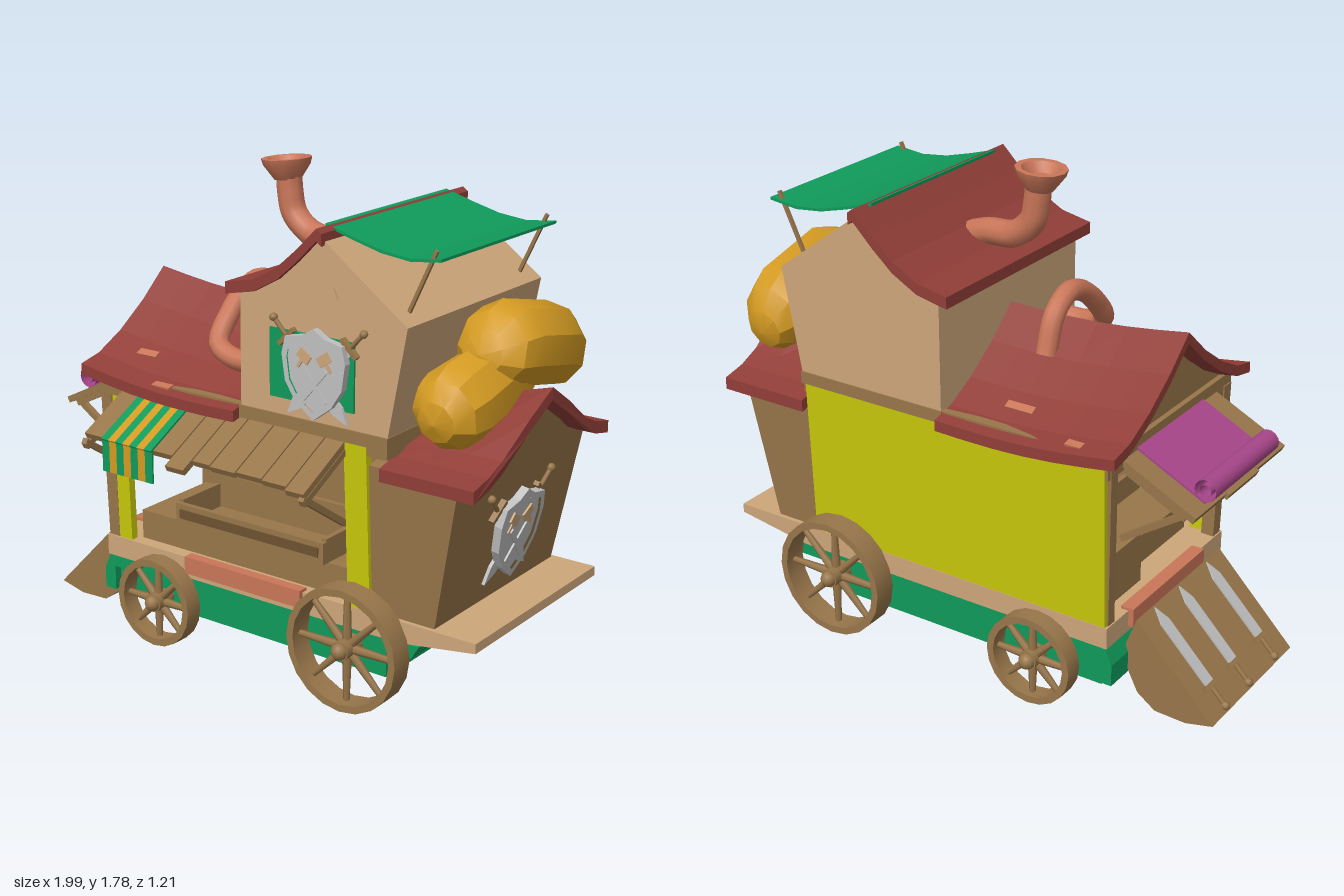
import * as THREE from 'three';
import { toCreasedNormals } from 'three/addons/utils/BufferGeometryUtils.js';

const mat = (name, color, side = THREE.FrontSide) => {
  const m = new THREE.MeshStandardMaterial({ color, side });
  m.name = name;
  return m;
};
const V = (x, y, z) => new THREE.Vector3(x, y, z);
const MID = -0.085; // centre line of the wagon in z

export function createModel() {
  const wood = mat('wood', 0x98764a), tan = mat('lightTimber', 0xcda67a), red = mat('roofRed', 0x913e38);
  const green = mat('green', 0x109a5a), yellow = mat('yellowPaint', 0xc8c80c), gold = mat('sackCloth', 0xd39a22);
  const clay = mat('terracotta', 0xc97658), silver = mat('steel', 0xc0c0c0);
  const magenta = mat('magentaCloth', 0xa8468a, THREE.DoubleSide), dark = mat('darkWood', 0x6e5230);
  const root = new THREE.Group();
  root.name = 'marketWagon';

  const add = (name, geo, m, parent = root) => {
    const mesh = new THREE.Mesh(geo, m);
    mesh.name = name;
    parent.add(mesh);
    return mesh;
  };
  const group = (name, parent = root) => {
    const g = new THREE.Group();
    g.name = name;
    parent.add(g);
    return g;
  };
  // box given by its limits
  const box = (name, m, x0, x1, y0, y1, z0, z1, parent) => add(name,
    new THREE.BoxGeometry(x1 - x0, y1 - y0, z1 - z0).translate((x0 + x1) / 2, (y0 + y1) / 2, (z0 + z1) / 2), m, parent);
  const shape = pts => new THREE.Shape(pts.map(p => new THREE.Vector2(...p)));
  const extrude = (s, depth, steps = 1) => new THREE.ExtrudeGeometry(s, { depth, steps, bevelEnabled: false });
  // outline in (x, y) pulled along z / outline in (z, y) pulled along x
  const alongZ = (pts, z0, z1) => extrude(shape(pts), z1 - z0).translate(0, 0, z0);
  const alongX = (pts, x0, x1, steps = 1) =>
    extrude(shape(pts.map(([z, y]) => [-z, y])), x1 - x0, steps).rotateY(Math.PI / 2).translate(x0, 0, 0);
  const beam = (name, m, a, b, w, d, parent) => {
    const dir = b.clone().sub(a);
    const mesh = add(name, new THREE.BoxGeometry(w, dir.length(), d), m, parent);
    mesh.position.copy(a).add(b).multiplyScalar(0.5);
    mesh.quaternion.setFromUnitVectors(V(0, 1, 0), dir.normalize());
    return mesh;
  };
  const bend = (geo, rule) => {
    const p = geo.attributes.position, v = V(0, 0, 0);
    for (let i = 0; i < p.count; i++) {
      rule(v.fromBufferAttribute(p, i));
      p.setXYZ(i, v.x, v.y, v.z);
    }
    geo.computeVertexNormals();
    return geo;
  };
  // closed strip of constant height under a top line
  const strip = (line, t) => [...line, ...line.map(([a, b]) => [a, b - t]).reverse()];
  // mirrors half a gable line about the centre line
  const gable = half => [...half.slice(1).reverse().map(([d, y]) => [MID - d, y]), ...half.map(([d, y]) => [MID + d, y])];

  // undercarriage and deck
  box('chassis', green, -0.6, 0.61, 0.12, 0.24, -0.47, 0.29);
  add('chassisRail', alongZ([[-0.65, 0.14], [-0.6, 0.14], [-0.6, 0.235], [0.73, 0.235], [0.76, 0.285], [-0.62, 0.285], [-0.65, 0.22]], -0.49, 0.32), green);
  add('deck', alongZ([[-0.63, 0.28], [0.68, 0.28], [0.98, 0.325], [0.98, 0.36], [-0.63, 0.36]], -0.492, 0.322), tan);
  box('frontStep', clay, -0.24, 0.28, 0.305, 0.37, 0.3, 0.34);
  box('sideStep', clay, -0.65, -0.6, 0.3, 0.37, -0.35, 0.15);

  // wheels
  const wheel = (x, z, r, w) => {
    const g = group('wheel');
    g.position.set(x, r + 0.005, z);
    const h = w / 2, i = r - 0.026;
    const rim = [[i, -h], [r, -h], [r, h], [i, h], [i, -h]].map(p => new THREE.Vector2(...p));
    add('rim', toCreasedNormals(new THREE.LatheGeometry(rim, 20).rotateX(Math.PI / 2), 0.6), wood, g);
    add('hub', new THREE.CylinderGeometry(0.035, 0.035, w, 12).rotateX(Math.PI / 2), wood, g);
    add('hubCap', new THREE.SphereGeometry(0.03, 10, 8), wood, g).position.z = Math.sign(z) * h;
    for (let k = 0; k < 8; k++)
      add('spoke', new THREE.CylinderGeometry(0.011, 0.018, i, 6).translate(0, i / 2, 0).rotateZ(k * Math.PI / 4), wood, g);
  };
  for (const z of [0.365, -0.535]) wheel(0.5, z, 0.225, 0.09);
  for (const z of [0.355, -0.525]) wheel(-0.355, z, 0.168, 0.07);
  for (const [x, y] of [[0.5, 0.23], [-0.355, 0.173]])
    add('axle', new THREE.CylinderGeometry(0.02, 0.02, 0.9, 8).rotateX(Math.PI / 2), wood).position.set(x, y, MID);

  // open shop cabin
  add('backWall', alongX([[-0.49, 0.36], [-0.47, 0.36], [-0.48, 0.97], [-0.51, 0.97]], -0.62, 0.62), yellow);
  box('backWallLining', wood, -0.6, 0.57, 0.36, 0.96, -0.475, -0.462);
  beam('frontPostLeft', yellow, V(0.515, 0.36, 0.305), V(0.505, 0.96, 0.325), 0.09, 0.03);
  beam('frontPostRight', yellow, V(-0.545, 0.36, 0.3), V(-0.545, 0.96, 0.32), 0.06, 0.03);
  beam('cornerPostFront', wood, V(-0.6, 0.36, 0.29), V(-0.61, 0.96, 0.305), 0.05, 0.05);
  beam('cornerPostBack', wood, V(-0.6, 0.36, -0.455), V(-0.61, 0.96, -0.47), 0.05, 0.04);
  box('header', wood, -0.63, 0.63, 0.92, 1.0, -0.505, 0.335);
  for (const [x, w] of [[-0.45, 0.07], [0.42, 0.06]])
    box('bareWallPatch', tan, x - w, x + w, 0.54, 0.73, -0.462, -0.457);
  box('counter', wood, -0.5, 0.47, 0.36, 0.47, -0.1, 0.27);
  box('trayFront', wood, -0.31, 0.35, 0.47, 0.55, 0.28, 0.3);
  box('trayBack', wood, -0.31, 0.35, 0.47, 0.6, 0.05, 0.07);
  for (const x of [-0.31, 0.33]) box('trayEnd', wood, x, x + 0.02, 0.47, 0.56, 0.07, 0.28);
  box('trayInset', dark, -0.29, 0.33, 0.495, 0.53, 0.3, 0.304);
  box('shelf', wood, -0.5, 0.5, 0.8, 0.83, -0.46, -0.25);
  box('crate', wood, -0.56, -0.36, 0.36, 0.55, -0.42, -0.15);

  // shop roof, sagging along its length
  const eaves = [[0, 1.305], [0.12, 1.2], [0.25, 1.11], [0.37, 1.05], [0.465, 1.03]];
  const sag = x => -0.045 * (x + 0.68) / 0.7 - 0.02 * Math.sin(Math.PI * (x + 0.68) / 0.7);
  add('shopRoof', bend(alongX(strip(gable(eaves), 0.04), -0.68, 0.025, 6), v => { v.y += sag(v.x); }), red);
  add('shopGable', bend(alongX([[MID - 0.41, 0.96], ...gable(eaves.slice(0, 4)).map(([z, y]) => [z, y - 0.025]), [MID + 0.41, 0.96]], -0.61, 0.03, 4),
    v => { if (v.y > 1) v.y += sag(v.x); }), wood);
  for (const [x, d, w] of [[-0.5, -0.415, 0.03], [-0.22, -0.31, 0.055], [-0.5, 0.3, 0.045], [-0.33, 0.42, 0.04]]) {
    const k = eaves.findIndex(e => e[0] > Math.abs(d));
    const [a, b] = [eaves[k - 1], eaves[k]], s = (b[1] - a[1]) / (b[0] - a[0]);
    const chip = add('roofChip', new THREE.BoxGeometry(2 * w, 0.009, 0.03), clay);
    chip.position.set(x, a[1] + s * (Math.abs(d) - a[0]) + sag(x) + 0.002, MID + d);
    chip.rotation.x = -Math.atan(s) * Math.sign(d);
  }

  // upper tower
  const slope = [[-0.02, 1.43], [0.1, 1.455], [0.2, 1.51], [0.28, 1.58], [0.36, 1.66]];
  add('tower', alongZ([[0.03, 0.97], [0.63, 0.97], [0.705, 1.38], [0.39, 1.61], [0.36, 1.63], [0.28, 1.55], [0.2, 1.48], [0.1, 1.425], [0.03, 1.41]], -0.505, 0.34), tan);
  add('towerRoof', alongZ(strip([...slope, [0.38, 1.645]], 0.042), -0.53, 0.36), red);
  box('towerSill', wood, 0.025, 0.638, 0.955, 1.0, -0.51, 0.346);
  box('towerWindow', green, 0.16, 0.505, 1.06, 1.3, 0.34, 0.348);
  const plank = box('nailedPlank', tan, -0.085, 0.085, -0.02, 0.02, -0.006, 0.006);
  plank.position.set(0.35, 1.42, 0.342);
  plank.rotation.z = 0.4;

  // canopy and its poles
  add('canopy', alongZ(strip([[0.34, 1.662], [0.45, 1.63], [0.56, 1.602], [0.67, 1.59], [0.785, 1.603]], 0.01), -0.45, 0.28), green);
  for (const z of [0.265, -0.43]) beam('canopyPole', wood, V(0.66, 1.41, z), V(0.76, 1.625, z), 0.012, 0.012);

  // end room with flared walls and a lifted ridge
  const porch = [[0, 1.14], [0.13, 1.06], [0.28, 0.955], [0.36, 0.92], [0.45, 0.9]];
  const lower = (x, z) => -0.12 * Math.max(0, (0.99 - x) / 0.37) * Math.max(0, 1 - Math.abs(z - MID) / 0.3);
  add('endRoom', bend(alongX([[0.305, 0.36], [-0.475, 0.36], [-0.505, 0.89], [MID - 0.28, 0.92], [MID, 1.1], [MID + 0.28, 0.92], [0.335, 0.89]], 0.56, 0.81), v => {
    if (v.x > 0.7) v.x += 0.18 * (v.y - 0.36);
    if (v.y > 0.95) v.y += lower(v.x, v.z);
  }), wood);
  add('endRoof', bend(alongX(strip(gable(porch), 0.045), 0.62, 0.98, 3), v => {
    v.y += lower(v.x, v.z);
    v.x += 0.02 * (v.x > 0.9) * Math.max(0, 1 - Math.abs(v.z - MID) / 0.3);
  }), red);

  // sacks on the end roof
  const sack = (r, len, pos, tilt, arch, sx) => {
    const g = bend(new THREE.CapsuleGeometry(r, len, 3, 9).rotateX(Math.PI / 2), v => {
      v.x *= sx * (1 + 0.08 * Math.sin(9 * v.z));
      v.y -= arch * v.z * v.z;
    });
    const m = add('sack', toCreasedNormals(g, 0.5), gold);
    m.position.copy(pos);
    m.rotation.x = tilt;
  };
  sack(0.145, 0.26, V(0.77, 1.11, 0.015), 0.15, 0.2, 0.93);
  sack(0.15, 0.3, V(0.8, 1.23, -0.245), -0.22, 0.6, 1);

  // stove pipes
  const pipe = (name, pts, r) => add(name, new THREE.TubeGeometry(new THREE.CatmullRomCurve3(pts.map(p => V(...p))), 28, r, 10), clay);
  pipe('tallChimney', [[0.24, 1.46, -0.07], [0.12, 1.5, -0.08], [0, 1.52, -0.1], [-0.075, 1.58, -0.105], [-0.095, 1.66, -0.105], [-0.1, 1.73, -0.105]], 0.048);
  const rim = [[0, -0.03], [0.05, -0.03], [0.085, 0.02], [0.092, 0.045], [0.07, 0.045], [0.045, 0.01], [0, 0.01]].map(p => new THREE.Vector2(...p));
  const cap = add('chimneyCap', toCreasedNormals(new THREE.LatheGeometry(rim, 12), 0.6), clay);
  cap.position.set(-0.108, 1.73, -0.105);
  cap.rotation.z = 0.08;
  pipe('stovePipe', [[0.04, 1.115, 0.22], [-0.1, 1.115, 0.22], [-0.18, 1.15, 0.2], [-0.195, 1.24, 0.12], [-0.195, 1.31, 0.03], [-0.195, 1.335, -0.06], [-0.195, 1.28, -0.15], [-0.195, 1.15, -0.2]], 0.038);

  // lean-to awnings: x runs along the wall, z outward
  const awning = (name, pos, turn, angle, planks, props) => {
    const g = group(name);
    g.position.copy(pos);
    g.rotation.y = turn;
    const top = group('slope', g);
    top.rotation.x = angle;
    for (const [x0, x1, len] of planks) box('plank', wood, x0, x1, -0.012, 0.012, 0, len, top);
    for (const x of props) {
      beam('prop', wood, V(x, -0.13, 0.24), V(x, -0.29, 0), 0.022, 0.022, g);
      box('rafter', wood, x - 0.012, x + 0.012, -0.035, -0.012, 0, 0.28, top);
    }
    return top;
  };
  const front = awning('frontAwning', V(0, 0.95, 0.325), 0, 0.48,
    [[-0.51, -0.105, 0.25], [-0.1, -0.02, 0.3], [-0.015, 0.06, 0.25], [0.065, 0.17, 0.255], [0.175, 0.28, 0.25], [0.285, 0.385, 0.255], [0.39, 0.465, 0.27]], [-0.5, 0.455]);
  for (let k = 0; k < 7; k++) {
    const x = -0.42 + k * 0.033, m = k % 2 ? gold : green;
    box('clothStripe', m, x, x + 0.033, 0.013, 0.02, 0.02, 0.262, front);
    box('clothDrop', m, x, x + 0.033, 0.725, 0.845, 0.553, 0.56);
  }
  const side = awning('sideAwning', V(-0.62, 0.95, 0), -Math.PI / 2, 0.46, [[-0.41, -0.2, 0.31], [-0.195, 0.02, 0.32], [0.025, 0.23, 0.31]], [-0.39, 0.21]);
  box('rug', magenta, -0.32, 0.13, 0.013, 0.021, 0, 0.29, side);
  for (const r of [0.04, 0.022])
    add('rugRoll', new THREE.CylinderGeometry(r, r, 0.45, 14, 1, true).rotateZ(Math.PI / 2), magenta, side).position.set(-0.095, 0.055, 0.27);

  // swords run from pommel (y = 0) to tip (y = len)
  const sword = (len, w, parent) => {
    const g = group('sword', parent);
    add('blade', extrude(shape([[-w, 0.1], [w, 0.1], [w * 1.15, len - 0.06], [0, len], [-w * 1.15, len - 0.06]]), 0.012).translate(0, 0, -0.006), silver, g);
    add('grip', new THREE.CylinderGeometry(0.009, 0.009, 0.1, 6).translate(0, 0.05, 0), wood, g);
    add('pommel', new THREE.SphereGeometry(0.016, 8, 6).translate(0, 0.01, 0), wood, g);
    box('guard', wood, -0.045, 0.045, 0.088, 0.105, -0.012, 0.012, g);
    return g;
  };
  const crest = [[0, 0.17], [0.05, 0.14], [0.125, 0.125], [0.14, 0.06], [0.125, -0.04], [0.08, -0.11], [0, -0.17]];
  const crestShape = k => shape([...crest, ...crest.slice(1, -1).reverse().map(([x, y]) => [-x, y])].map(([x, y]) => [x * k, y * k]));
  const trophy = (name, pos, scale) => {
    const g = group(name);
    g.position.copy(pos);
    g.scale.setScalar(scale);
    const border = crestShape(1);
    border.holes.push(crestShape(0.84));
    add('shieldBorder', extrude(border, 0.03), silver, g);
    add('shieldFace', extrude(crestShape(0.86), 0.02), silver, g);
    for (const s of [-1, 1]) {
      const sw = sword(0.49, 0.022, g);
      sw.position.set(s * 0.205, 0.185, 0);
      sw.rotation.z = s * (Math.PI - 0.76);
      const bar = box('smallBlade', silver, -0.009, 0.009, -0.08, 0.08, 0.02, 0.027, g);
      bar.position.y = -0.04;
      bar.rotation.z = s * 0.7;
      const axe = group('axe', g);
      axe.position.set(s * 0.045, 0.06, 0.02);
      axe.rotation.z = s * 0.6;
      box('axeHead', tan, -0.028, 0.028, -0.016, 0.022, 0, 0.007, axe);
      box('axeHandle', tan, -0.006, 0.006, -0.05, 0, 0, 0.006, axe);
    }
    return g;
  };
  trophy('frontTrophy', V(0.365, 1.175, 0.355), 0.92);
  trophy('endTrophy', V(0.862, 0.6, -0.095), 1).rotation.set(0.18, Math.PI / 2, 0, 'YXZ');

  // sword bin hung on the other end
  add('swordBin', alongZ([[-0.985, 0.04], [-0.88, 0.015], [-0.76, 0.02], [-0.69, 0.07], [-0.645, 0.16], [-0.64, 0.25], [-0.68, 0.355]], -0.38, 0.21), wood);
  for (const z of [-0.27, -0.1, 0.1]) {
    const c = Math.SQRT1_2, s = sword(0.42, 0.022);
    s.applyMatrix4(new THREE.Matrix4().makeBasis(V(0, 0, 1), V(c, c, 0), V(-c, c, 0)).setPosition(-0.982, 0.052, z));
  }

  // ladle by the corner post
  add('ladleBowl', new THREE.SphereGeometry(0.022, 8, 6).scale(1, 2.2, 0.8), silver).position.set(-0.575, 0.77, 0.335);
  add('ladle', new THREE.SphereGeometry(0.018, 8, 6).scale(0.8, 1.6, 1), silver).position.set(-0.645, 0.79, 0.29);
  return root;
}
